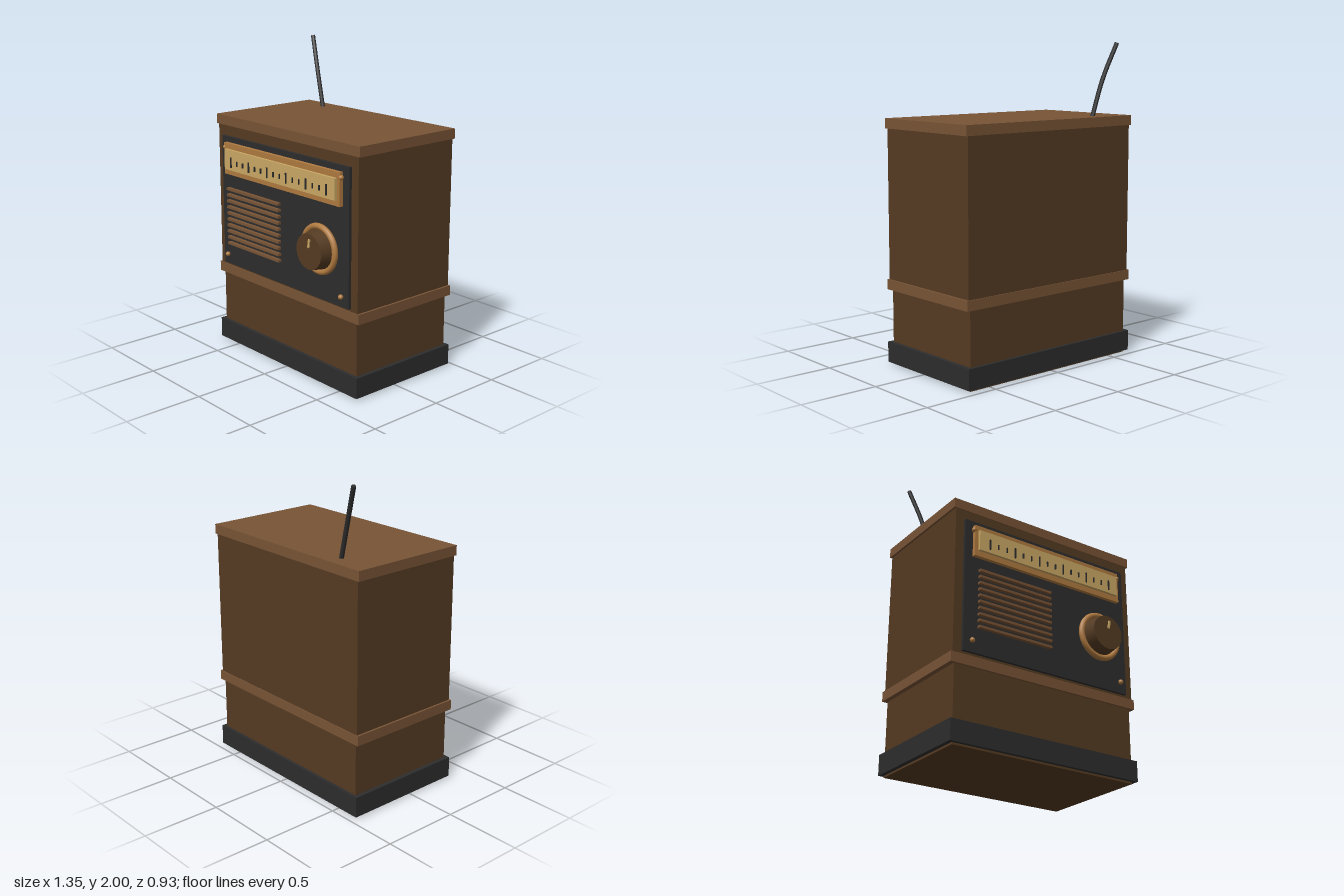
import * as THREE from 'three';

const material = (name, color) => {
  const m = new THREE.MeshStandardMaterial({ color });
  m.name = name;
  return m;
};

export function createModel() {
  const radio = new THREE.Group();
  radio.name = 'tableRadio';

  const walnut = material('darkWalnut', 0x553b22);
  const trim = material('lightWalnut', 0x785436);
  const black = material('charcoal', 0x2d2d2d);
  const brass = material('brass', 0xb07a40);
  const cream = material('dialCream', 0xcba965);

  const add = (name, geometry, mat, x = 0, y = 0, z = 0) => {
    const mesh = new THREE.Mesh(geometry, mat);
    mesh.name = name;
    mesh.position.set(x, y, z);
    radio.add(mesh);
    return mesh;
  };
  // Box given by its limits on each axis
  const box = (name, mat, [x0, x1], [y0, y1], [z0, z1]) =>
    add(name, new THREE.BoxGeometry(x1 - x0, y1 - y0, z1 - z0), mat,
      (x0 + x1) / 2, (y0 + y1) / 2, (z0 + z1) / 2);

  // Cabinet
  box('lowerCabinet', walnut, [-0.643, 0.643], [0, 0.5], [-0.443, 0.313]);
  box('plinth', black, [-0.67, 0.67], [0.013, 0.143], [-0.463, 0.336]);
  box('middleBand', trim, [-0.674, 0.674], [0.48, 0.543], [-0.456, 0.329]);
  box('upperCabinet', walnut, [-0.66, 0.66], [0.53, 1.49], [-0.45, 0.323]);
  box('lid', trim, [-0.674, 0.674], [1.48, 1.542], [-0.456, 0.329]);
  box('frontPanel', black, [-0.603, 0.603], [0.56, 1.413], [0.315, 0.342]);

  // Tuning scale
  box('dialFrame', brass, [-0.55, 0.55], [1.174, 1.378], [0.335, 0.367]);
  box('dialPlate', cream, [-0.526, 0.526], [1.21, 1.342], [0.36, 0.384]);
  for (let i = 0; i < 16; i++) {
    const half = i % 3 === 0 ? 0.033 : 0.016;
    const x = -0.455 + i * 0.0607;
    box('dialTick', black, [x - 0.004, x + 0.004], [1.263 - half, 1.263 + half], [0.383, 0.391]);
  }

  // Speaker slats
  for (let i = 0; i < 10; i++) {
    const y = 0.717 + i * 0.0403;
    box('speakerSlat', trim, [-0.517, 0.003], [y - 0.008, y + 0.008], [0.356, 0.38]);
  }

  // Tuning knob with ring and pointer
  const kx = 0.378, ky = 0.885;
  add('knobRing', new THREE.TorusGeometry(0.139, 0.019, 12, 48), brass, kx, ky, 0.372);
  const knob = add('knob', new THREE.CylinderGeometry(0.11, 0.126, 0.113, 40), walnut, kx, ky, 0.3985);
  knob.rotation.x = Math.PI / 2;
  const pointer = add('knobPointer', new THREE.BoxGeometry(0.014, 0.052, 0.009), cream, kx + 0.007, ky + 0.052, 0.4585);
  pointer.rotation.z = -0.15;

  // Corner screws
  for (const x of [-0.55, 0.55]) {
    for (const y of [0.628, 1.347]) {
      add('screw', new THREE.SphereGeometry(0.016, 14, 10), brass, x, y, 0.357);
    }
  }

  // Gently bowed antenna with closed tip
  const curve = new THREE.CatmullRomCurve3([
    new THREE.Vector3(-0.41, 1.5, -0.357),
    new THREE.Vector3(-0.492, 1.77, -0.376),
    new THREE.Vector3(-0.58, 1.995, -0.411),
  ]);
  add('antenna', new THREE.TubeGeometry(curve, 16, 0.014, 8), black);
  const tip = add('antennaTip', new THREE.CircleGeometry(0.014, 8), black);
  tip.position.copy(curve.getPoint(1));
  tip.quaternion.setFromUnitVectors(new THREE.Vector3(0, 0, 1), curve.getTangent(1));

  return radio;
}
